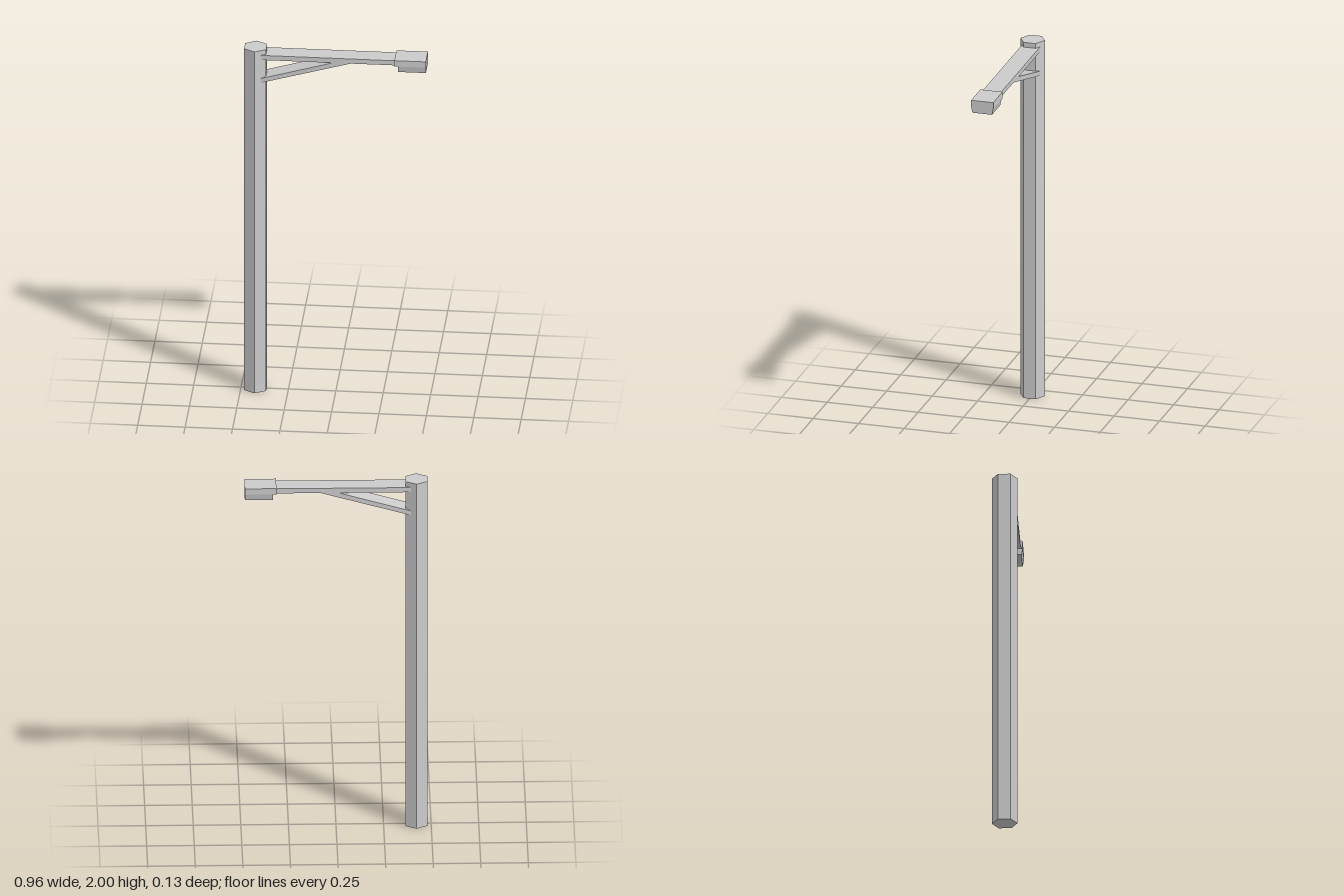
import * as THREE from 'three';

const material = new THREE.MeshStandardMaterial({ color: 0xcccccc, flatShading: true });

function part(name, geometry) {
  const mesh = new THREE.Mesh(geometry, material);
  mesh.name = name;
  return mesh;
}

// Box given by its x and y limits, centred on z = 0
function slab(x0, x1, y0, y1, width) {
  const box = new THREE.BoxGeometry(x1 - x0, y1 - y0, width);
  return box.translate((x0 + x1) / 2, (y0 + y1) / 2, 0);
}

// Side outline in x, y extruded across z
function extrudeSide(points, width) {
  const shape = new THREE.Shape(points.map(([x, y]) => new THREE.Vector2(x, y)));
  const geometry = new THREE.ExtrudeGeometry(shape, { depth: width, bevelEnabled: false });
  return geometry.translate(0, 0, -width / 2);
}

export function createModel() {
  const group = new THREE.Group();
  group.name = 'streetLamp';

  // Hexagonal pole with corners towards front and back
  const pole = part('pole', new THREE.CylinderGeometry(0.067, 0.067, 2, 6));
  pole.position.set(-0.423, 1, 0);
  group.add(pole);

  // Flat horizontal arm
  group.add(part('arm', slab(-0.41, 0.33, 1.946, 1.973, 0.1)));

  // Slanted brace under the arm
  group.add(part('brace', extrudeSide(
    [[-0.41, 1.807], [0.09, 1.948], [-0.005, 1.948], [-0.41, 1.832]], 0.1)));

  // Lamp head: upper housing and a slightly narrower lower block
  group.add(part('lampHousing', slab(0.314, 0.48, 1.945, 1.979, 0.122)));
  const lens = slab(0.333, 0.48, 1.91, 1.945, 0.122);
  const pos = lens.attributes.position;
  for (let i = 0; i < pos.count; i++) {
    if (pos.getY(i) < 1.92) pos.setZ(i, pos.getZ(i) * 0.88);
  }
  group.add(part('lampLens', lens));

  return group;
}
